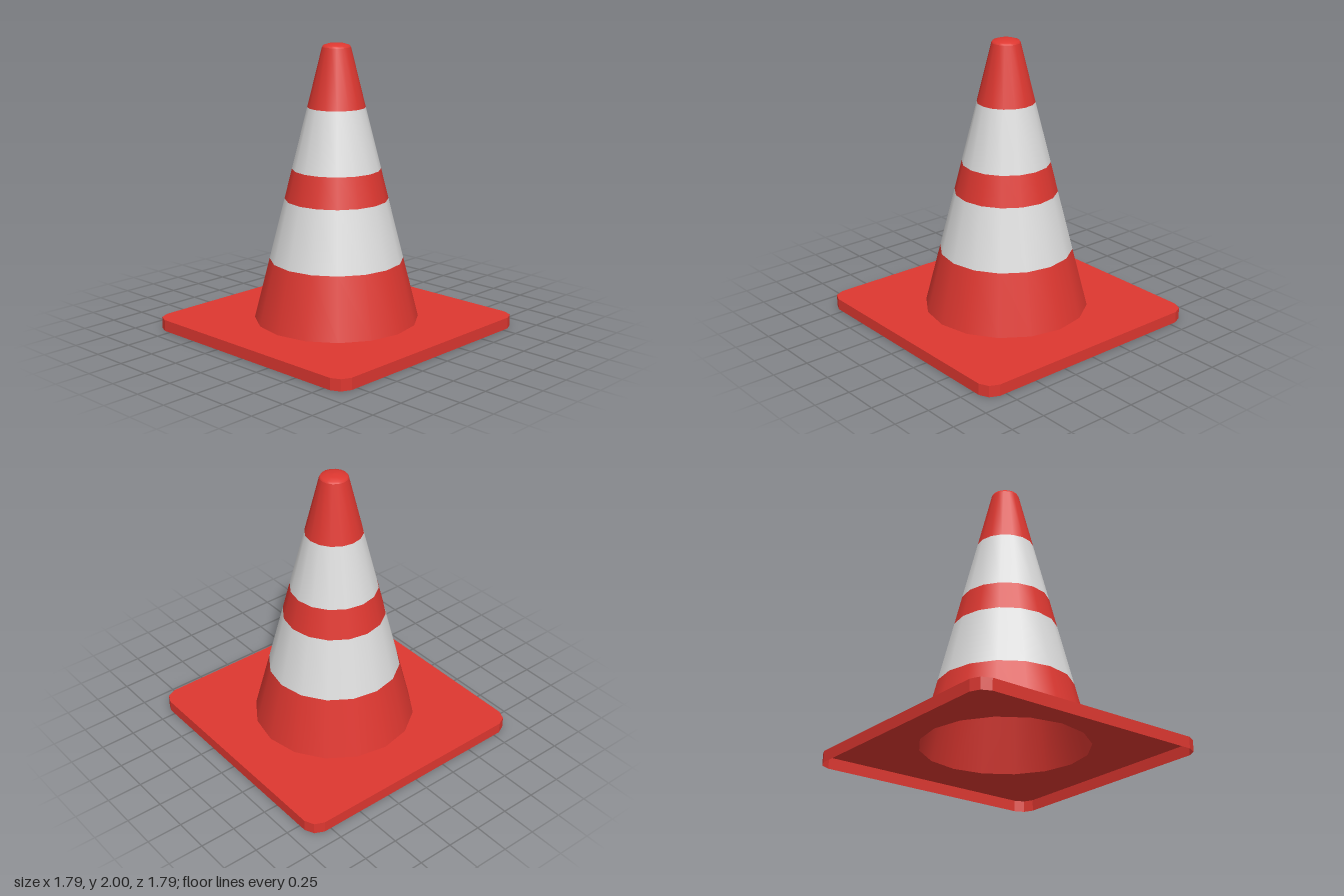
import * as THREE from 'three';

const SIDES = 16;
const PLATE_TOP = 0.08;

export function createModel() {
  const red = new THREE.MeshStandardMaterial({ color: 0xdd3730, side: THREE.DoubleSide });
  red.name = 'coneRed';
  const white = new THREE.MeshStandardMaterial({ color: 0xdcdcdc, side: THREE.DoubleSide });
  white.name = 'bandWhite';

  const group = new THREE.Group();
  group.name = 'trafficCone';
  const add = (name, geometry, material) => {
    const mesh = new THREE.Mesh(geometry, material);
    mesh.name = name;
    group.add(mesh);
    return mesh;
  };

  // Square outline with cut corners, counter-clockwise
  const outline = [];
  for (let i = 0; i < 4; i++) {
    for (const [x, y] of [[0.895, 0.8], [0.865, 0.865], [0.8, 0.895]]) {
      outline.push(new THREE.Vector2(x, y).rotateAround(new THREE.Vector2(), i * Math.PI / 2));
    }
  }

  // Base plate top, open beneath the hollow cone
  const shape = new THREE.Shape(outline);
  const hole = [];
  for (let i = 0; i < SIDES; i++) {
    const a = i * 2 * Math.PI / SIDES;
    hole.push(new THREE.Vector2(0.573 * Math.cos(a), 0.573 * Math.sin(a)));
  }
  shape.holes.push(new THREE.Path(hole));
  const plate = new THREE.ShapeGeometry(shape);
  plate.rotateX(-Math.PI / 2);
  plate.translate(0, PLATE_TOP, 0);
  add('basePlate', plate, red);

  // Rim of the base plate, one flat face per outline edge
  const rim = [];
  outline.forEach((p, i) => {
    const q = outline[(i + 1) % outline.length];
    const a = [p.x, 0, -p.y], b = [q.x, 0, -q.y];
    const c = [q.x, PLATE_TOP, -q.y], d = [p.x, PLATE_TOP, -p.y];
    rim.push(...a, ...b, ...c, ...a, ...c, ...d);
  });
  const rimGeometry = new THREE.BufferGeometry();
  rimGeometry.setAttribute('position', new THREE.Float32BufferAttribute(rim, 3));
  rimGeometry.computeVertexNormals();
  add('baseRim', rimGeometry, red);

  // Hollow cone, one smooth ring per coloured band
  const lathe = (points) =>
    new THREE.LatheGeometry(points.map(([r, y]) => new THREE.Vector2(r, y)), SIDES);
  const bands = [
    ['lowerCone', red, [0.573, PLATE_TOP], [0.465, 0.505]],
    ['lowerWhiteBand', white, [0.465, 0.505], [0.358, 0.93]],
    ['middleCone', red, [0.358, 0.93], [0.306, 1.14]],
    ['upperWhiteBand', white, [0.306, 1.14], [0.199, 1.565]],
    ['upperCone', red, [0.199, 1.565], [0.098, 1.972]],
  ];
  for (const [name, material, ...points] of bands) add(name, lathe(points), material);

  // Slightly domed tip
  add('tip', lathe([[0.098, 1.972], [0.09, 1.985], [0.05, 1.997], [0, 2]]), red);

  return group;
}
